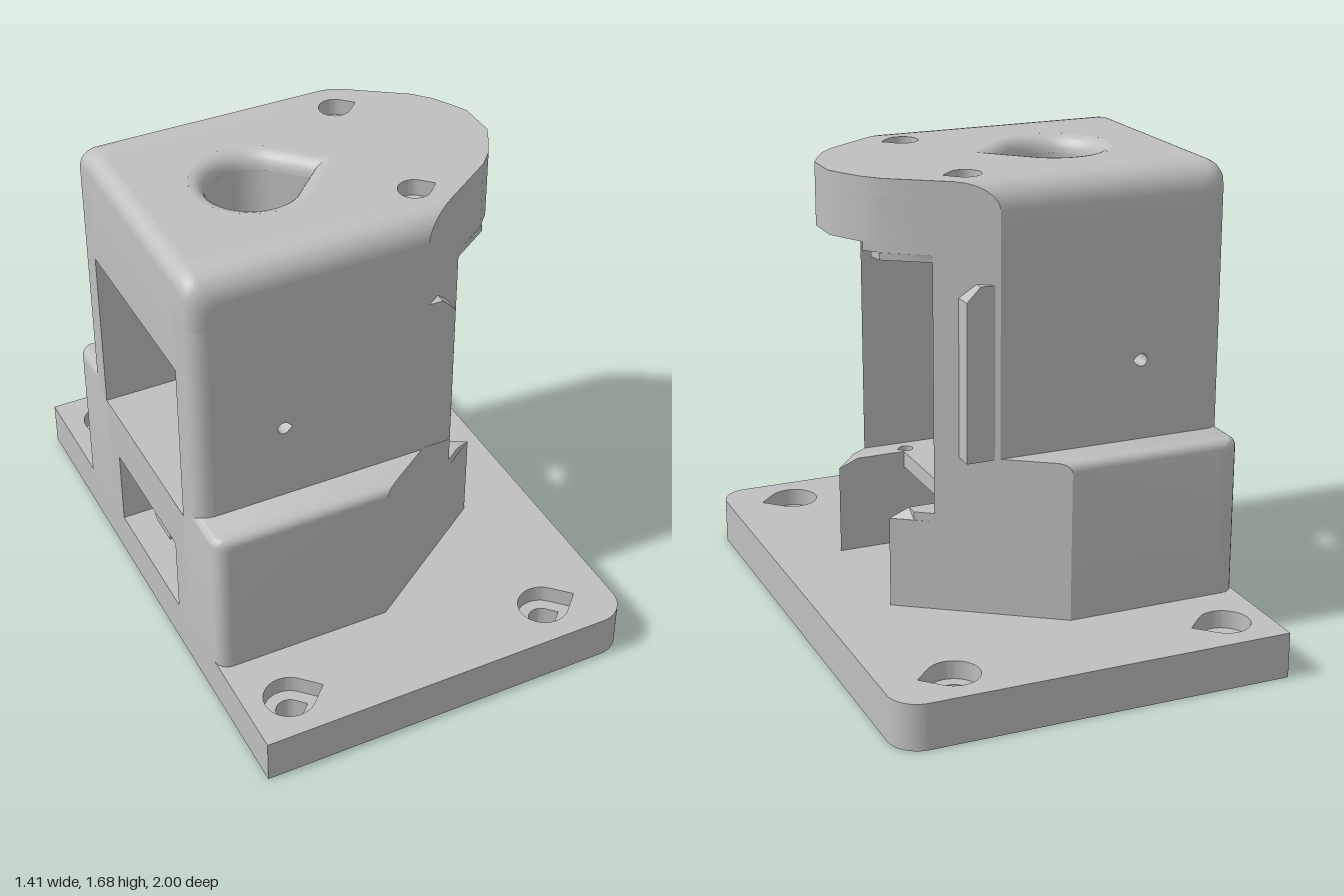
import * as THREE from 'three';
import { toCreasedNormals } from 'three/addons/utils/BufferGeometryUtils.js';
import { ParametricGeometry } from 'three/addons/geometries/ParametricGeometry.js';

const BACK = -0.71, WALL = 0.35, CHANNEL = 0.26;
// slanted front end of the body as a function of z
const frontX = z => -0.07 + (0.62 - Math.abs(z)) * 1.452;
// drop of a quarter-round of radius r at distance d from its edge
const round = (d, r) => d < r ? r - Math.sqrt(Math.max(0, r * r - (r - d) ** 2)) : 0;

// circle with a 45 degree point towards +x
function teardrop(x, z, r) {
  const p = new THREE.Path();
  p.moveTo(x + r * Math.SQRT2, z);
  p.lineTo(x + r * Math.SQRT1_2, z + r * Math.SQRT1_2);
  p.absarc(x, z, r, Math.PI / 4, Math.PI * 1.75, false);
  p.closePath();
  return p;
}

const polygon = points => new THREE.Shape(points.map(p => new THREE.Vector2(...p)));

function extrude(shape, depth) {
  return new THREE.ExtrudeGeometry(shape, { depth, bevelEnabled: false, curveSegments: 28 });
}

// plan shape (x, z) raised from y0 to y1
function plan(shape, y0, y1, holes = []) {
  shape.holes = holes;
  return extrude(shape, y1 - y0).rotateX(-Math.PI / 2).translate(0, y0, 0);
}

// box whose vertices follow rules: column positions in z, x per column, top height
function block(zs, nx, xAt, y0, top) {
  const nz = zs.length - 1;
  const g = new THREE.BoxGeometry(1, 1, 1, nx, 1, nz), p = g.attributes.position;
  for (let i = 0; i < p.count; i++) {
    const z = zs[Math.round((p.getZ(i) + 0.5) * nz)];
    const x = xAt(Math.round((p.getX(i) + 0.5) * nx), z);
    p.setXYZ(i, x, p.getY(i) < 0 ? y0 : top(x, z), z);
  }
  return g;
}

function box(x0, x1, y0, y1, z0, z1) {
  return new THREE.BoxGeometry(x1 - x0, y1 - y0, z1 - z0)
    .translate((x0 + x1) / 2, (y0 + y1) / 2, (z0 + z1) / 2);
}

// mirrored copy across z with the winding kept outward
function mirrorZ(geometry) {
  const g = geometry.index ? geometry.toNonIndexed() : geometry.clone();
  const p = g.attributes.position, a = new THREE.Vector3(), b = new THREE.Vector3();
  g.scale(1, 1, -1);
  for (let i = 0; i < p.count; i += 3) {
    a.fromBufferAttribute(p, i);
    b.fromBufferAttribute(p, i + 1);
    p.setXYZ(i, b.x, b.y, b.z);
    p.setXYZ(i + 1, a.x, a.y, a.z);
  }
  return g;
}

export function createModel() {
  const model = new THREE.Group();
  const grey = new THREE.MeshStandardMaterial({ color: 0xbfbfbf });
  grey.name = 'plain grey';

  function add(name, geometry) {
    const g = geometry.index ? geometry.toNonIndexed() : geometry;
    const mesh = new THREE.Mesh(toCreasedNormals(g, 0.6), grey);
    mesh.name = name;
    model.add(mesh);
  }
  function addPair(name, geometry) {
    add(name + 'Left', geometry);
    add(name + 'Right', mirrorZ(geometry));
  }

  // base plate with four countersunk mounting holes
  const baseShape = () => {
    const s = new THREE.Shape();
    s.moveTo(BACK, -1);
    s.lineTo(0.6, -1);
    s.absarc(0.6, -0.895, 0.105, -Math.PI / 2, 0, false);
    s.absarc(0.6, 0.895, 0.105, 0, Math.PI / 2, false);
    s.lineTo(BACK, 1);
    s.closePath();
    return s;
  };
  const mounts = r => [-0.55, 0.45].flatMap(x => [-0.835, 0.835].map(z => teardrop(x, z, r)));
  add('baseLower', plan(baseShape(), 0, 0.1, mounts(0.048)));
  add('baseUpper', plan(baseShape(), 0.1, 0.165, mounts(0.09)));

  // wide lower flanks with rounded back corner and shoulder
  const quarter = [0, 1, 2, 3, 4, 5, 6].map(k => k * Math.PI / 12);
  const rearSteps = quarter.length;
  const sweep = (back, r) => (i, z) =>
    i < rearSteps ? back(z) + r * (1 - Math.cos(quarter[i])) : frontX(z);
  const flankBack = z => BACK + round(0.62 - z, 0.05);
  addPair('flank', block([WALL, ...quarter.map(a => 0.57 + 0.05 * Math.sin(a))], rearSteps,
    sweep(flankBack, 0.03), 0.16,
    (x, z) => 0.735 - round(0.62 - z, 0.03) - round(x - flankBack(z), 0.03)));

  // inner legs either side of the open channel
  addPair('leg', plan(polygon([[BACK, -CHANNEL], [BACK, -WALL], [frontX(WALL), -WALL],
    [frontX(CHANNEL), -CHANNEL]]), 0.16, 0.49));

  // upper side walls, each with a small cross hole and a slanted front end
  const wallShape = polygon([[-0.65, 0.66], [0.2, 0.66], [0.2, 1.5], [-0.65, 1.5]]);
  wallShape.holes = [teardrop(-0.39, 1.02, 0.022)];
  const wall = extrude(wallShape, 0.13).translate(0, 0, WALL), wp = wall.attributes.position;
  for (let i = 0; i < wp.count; i++) if (wp.getX(i) > 0.1) wp.setX(i, frontX(wp.getZ(i)));
  addPair('sideWall', wall);

  // rounded rear columns and rounded top edges of the walls
  const wallBack = z => BACK + round(0.48 - z, 0.06);
  const wallZ = [WALL, ...quarter.map(a => 0.39 + 0.09 * Math.sin(a))];
  const topEdge = (x, z) => 1.68 - round(0.48 - z, 0.09) - round(x - wallBack(z), 0.06);
  addPair('rearColumn', block(wallZ, 1, (i, z) => i ? -0.65 : wallBack(z), 0.66, () => 1.5));
  addPair('topEdge', block(wallZ, rearSteps, sweep(wallBack, 0.06), 1.5, topEdge));
  add('rearTopBeam', block([-WALL, WALL], rearSteps - 1,
    i => BACK + 0.06 * (1 - Math.cos(quarter[i])), 1.28, x => 1.68 - round(x - BACK, 0.06)));

  // roof: round-nosed slab with flared main bore and two screw holes
  const nose = [[frontX(WALL), WALL], [0.46, 0.255], [0.51, 0.2], [0.55, 0.13], [0.58, 0.07]];
  const flip = pts => pts.map(([x, z]) => [x, -z]).reverse();
  const roof = x0 => polygon([[x0, -WALL], ...flip(flip(nose)).map(([x, z]) => [x, -z]),
    ...nose.slice().reverse(), [x0, WALL]]);
  const screws = r => [-0.29, 0.29].map(z => teardrop(0.18, z, r));
  const bore = r => teardrop(-0.27, 0, r);
  add('roofTop', plan(roof(-0.65), 1.62, 1.68, [bore(0.21), ...screws(0.056)]));
  add('roofNose', plan(roof(0), 1.46, 1.62, screws(0.028)));
  add('roofRear', plan(polygon([[-0.65, -WALL], [0, -WALL], [0, WALL], [-0.65, WALL]]),
    1.28, 1.62, [bore(0.155)]));

  // rounded flare at the mouth of the bore
  const unit = teardrop(0, 0, 1).getSpacedPoints(72);
  add('boreFlare', new ParametricGeometry((u, v, out) => {
    const q = unit[Math.round(u * 72) % 72], a = v * Math.PI / 2;
    const r = 0.155 + 0.055 * (1 - Math.cos(a));
    out.set(-0.27 + r * q.x, 1.62 + 0.06 * Math.sin(a), r * q.y);
  }, 72, 6));

  // stepped ledges under the roof
  [1, -1].forEach(s => {
    const side = s > 0 ? 'Right' : 'Left';
    const hole = () => [teardrop(0.18, 0.29 * s, 0.028)];
    const strip = pts => polygon(pts.map(([x, z]) => [x, z * s]));
    add('roofLedgeUpper' + side, plan(strip([[0, 0.2], [0.51, 0.2], [0.46, 0.255],
      [frontX(WALL), WALL], [0, WALL]]), 1.43, 1.46, hole()));
    add('roofLedgeLower' + side, plan(strip([[0, 0.2], [0.48, 0.2], [0.47, 0.25],
      [frontX(WALL), WALL], [0, WALL]]), 1.405, 1.43, hole()));
  });

  // floor: raised rear block, thin front plate and its chamfered arms
  add('rearFloor', box(BACK, 0, 0.46, 0.66, -WALL, WALL));
  add('floorPlate', box(0, 0.2, 0.46, 0.49, -CHANNEL, CHANNEL));
  const arm = [[frontX(WALL), WALL], [0.38, 0.308], [0.38, CHANNEL], [0.2, CHANNEL]];
  const floorTop = plan(polygon([[0, -WALL], ...arm.map(([x, z]) => [x, -z]),
    ...arm.slice().reverse(), [0, WALL]]), 0.49, 0.52, screws(0.025));
  const fp = floorTop.attributes.position;
  for (let i = 0; i < fp.count; i++) {
    if (fp.getY(i) < 0.5 && fp.getX(i) > 0.37 && Math.abs(fp.getZ(i)) < 0.27) fp.setX(i, 0.452);
  }
  add('floorTop', floorTop);

  // side tabs beside the front opening
  addPair('sideTab', extrude(polygon([[0.05, 0.73], [0.25, 0.73], [0.25, 1.29], [0.2, 1.34],
    [0.05, 1.34]]), 0.07).translate(0, 0, 0.4));

  // two-jawed cable clip hanging in the rear channel
  const jaws = [
    [[0, 0.46], [0, 0.37], [0.01, 0.36], [0.13, 0.36], [0.13, 0.4], [0.1, 0.42], [0.09, 0.46]],
    [[0.26, 0.46], [0.235, 0.46], [0.225, 0.42], [0.19, 0.4], [0.19, 0.36], [0.26, 0.36]],
  ];
  jaws.forEach((pts, i) => add('clipJaw' + (i + 1),
    extrude(polygon(pts), 0.24).rotateY(-Math.PI / 2).translate(-0.44, 0, 0)));

  return model;
}
